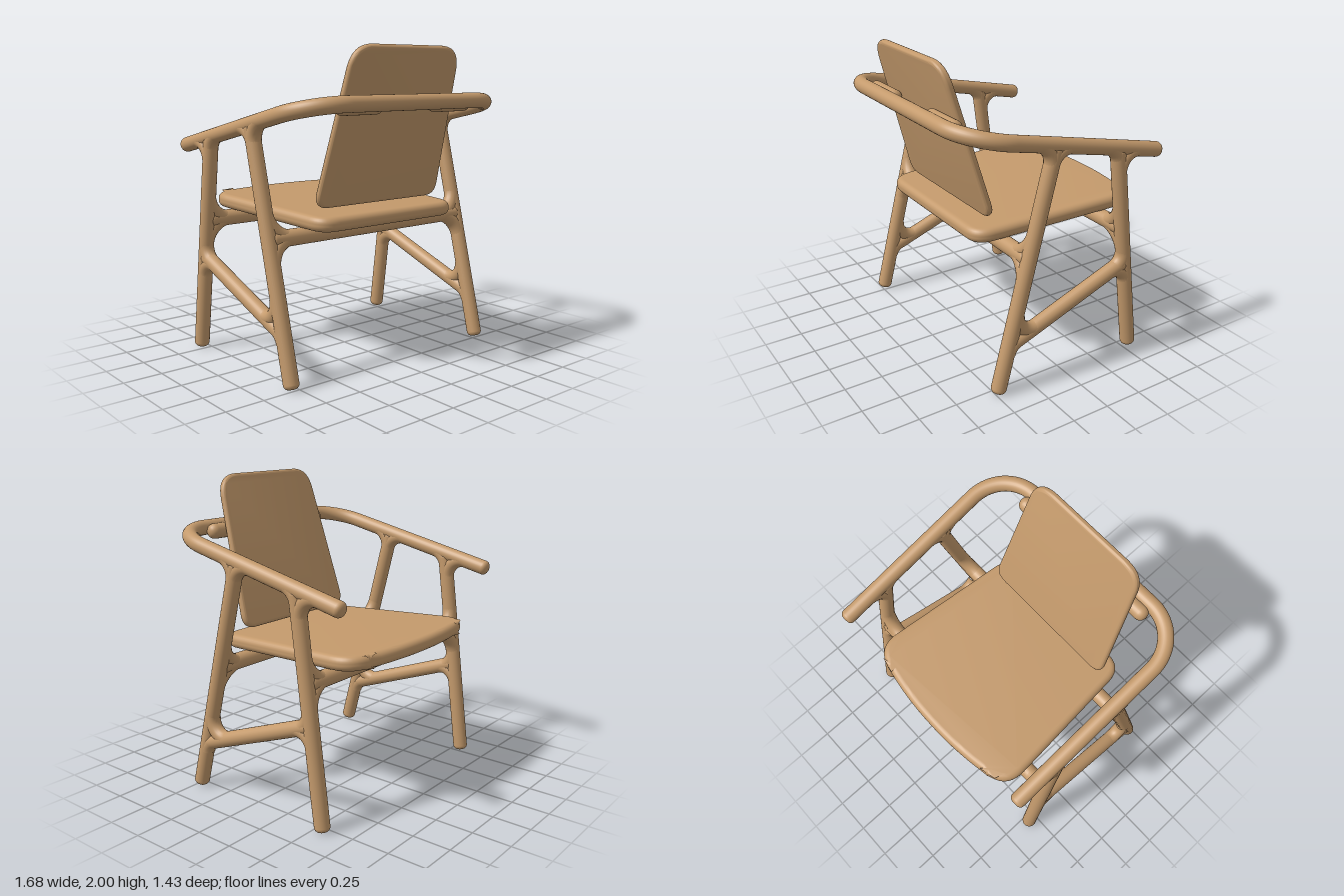
import * as THREE from 'three';
import { mergeVertices, toCreasedNormals } from 'three/addons/utils/BufferGeometryUtils.js';

const R = 0.049; // radius of all round stock
const V = (x, y, z) => new THREE.Vector3(x, y, z);
const wood = new THREE.MeshStandardMaterial({ color: 0xc49a6c });
wood.name = 'wood';

function add(group, name, geometry) {
  const mesh = new THREE.Mesh(geometry, wood);
  mesh.name = name;
  group.add(mesh);
  return mesh;
}

// Round bar from a to b with softly rounded ends
function rod(group, name, a, b, r = R, soft = 0.03) {
  const len = a.distanceTo(b);
  const profile = [new THREE.Vector2(0, 0)];
  for (let i = 0; i <= 5; i++) {
    const t = (i / 5) * Math.PI / 2;
    profile.push(new THREE.Vector2(r - soft + soft * Math.sin(t), soft - soft * Math.cos(t)));
  }
  const upper = profile.map((p) => new THREE.Vector2(p.x, len - p.y)).reverse();
  const mesh = add(group, name, new THREE.LatheGeometry([...profile, ...upper], 28));
  mesh.position.copy(a);
  mesh.quaternion.setFromUnitVectors(V(0, 1, 0), b.clone().sub(a).normalize());
}

// Exact-looking arc tangent to two directions leaving a corner
function arc(corner, d1, d2, radius) {
  const theta = d1.angleTo(d2);
  const t = radius / Math.tan(theta / 2);
  const k = t - (4 / 3) * Math.tan((Math.PI - theta) / 4) * radius;
  const at = (d, s) => corner.clone().addScaledVector(d, s);
  return new THREE.CubicBezierCurve3(at(d1, t), at(d1, k), at(d2, k), at(d2, t));
}

// Concave blend in the crook between two bars
function fillet(group, corner, d1, d2, inner) {
  const curve = arc(corner, d1, d2, inner + R);
  add(group, 'jointFillet', new THREE.TubeGeometry(curve, 16, R * 0.985, 20));
}

// Rounded panel, symmetric in x, from right-hand corners [x, y, cut]
function panel(half, thickness, bevel) {
  const left = half.map(([x, y, c]) => [-x, y, c]).reverse();
  const pts = [...half, ...left];
  const n = pts.length;
  const shape = new THREE.Shape();
  pts.forEach(([x, y, cut], i) => {
    const c = new THREE.Vector2(x, y);
    const toward = (q) => new THREE.Vector2(q[0], q[1]).sub(c).setLength(cut).add(c);
    const a = toward(pts[(i + n - 1) % n]);
    const b = toward(pts[(i + 1) % n]);
    if (i === 0) shape.moveTo(a.x, a.y);
    else shape.lineTo(a.x, a.y);
    shape.quadraticCurveTo(c.x, c.y, b.x, b.y);
  });
  shape.closePath();
  const geo = new THREE.ExtrudeGeometry(shape, {
    depth: thickness - 2 * bevel, bevelEnabled: true, bevelThickness: bevel,
    bevelSize: bevel, bevelOffset: -bevel, bevelSegments: 6, curveSegments: 10,
  });
  geo.translate(0, 0, bevel - thickness / 2);
  geo.deleteAttribute('uv');
  geo.deleteAttribute('normal');
  return toCreasedNormals(mergeVertices(geo, 1e-4), 0.6);
}

export function createModel() {
  const chair = new THREE.Group();
  chair.name = 'armchair';

  // Key lines of the side frame
  const X = 0.791;
  const armY = (z) => 1.365 + 0.222 * (z + 0.665);
  const rearZ = (y) => 0.483 - 0.256 * y;
  const frontZ = (y) => -0.56 + 0.131 * y;
  const tieY = (z) => 0.465 - 0.371 * z;
  const armDir = V(0, 0.222, 1).normalize();
  const rearUp = V(0, 1, -0.256).normalize();
  const frontUp = V(0, 1, 0.131).normalize();
  const tieDir = V(0, 0.371, -1).normalize();
  const neg = (v) => v.clone().negate();

  for (const side of [1, -1]) {
    const frame = new THREE.Group();
    frame.name = side > 0 ? 'leftSideFrame' : 'rightSideFrame';
    chair.add(frame);
    const x = side * X;
    const inward = V(-side, 0, 0);
    const rearTop = V(x, armY(0.09), rearZ(armY(0.09)));
    const frontTop = V(x, armY(-0.373), frontZ(armY(-0.373)));
    const tieRear = V(x, tieY(0.395), 0.395);
    const tieFront = V(x, tieY(-0.475), -0.475);

    // Legs and sloping side stretcher
    rod(frame, 'rearLeg', V(x, 0.008, rearZ(0.008)), rearTop);
    rod(frame, 'frontLeg', V(x, 0.004, frontZ(0.004)), frontTop);
    rod(frame, 'sideStretcher', tieRear, tieFront);

    // Blends within the side frame
    for (const d of [armDir, neg(armDir)]) {
      fillet(frame, rearTop, neg(rearUp), d, 0.075);
      fillet(frame, frontTop, neg(frontUp), d, 0.075);
    }
    for (const s of [1, -1]) {
      fillet(frame, tieRear, rearUp.clone().multiplyScalar(s), tieDir, 0.06);
      fillet(frame, tieFront, frontUp.clone().multiplyScalar(s), neg(tieDir), 0.06);
    }

    // Blends from the legs into the seat rails
    for (const s of [1, -1]) {
      fillet(frame, V(x, 0.857, rearZ(0.857)), rearUp.clone().multiplyScalar(s), inward, 0.12);
      fillet(frame, V(x, 0.885, frontZ(0.885)), frontUp.clone().multiplyScalar(s), inward, 0.12);
    }

    // Rounded arm tip
    rod(frame, 'armTip', V(x, armY(-0.665) - 0.01, -0.71), V(x, armY(-0.5), -0.5));

    // Bracket joining the arm rail to the backrest
    rod(frame, 'backBracket', V(side * 0.2, 1.64, 0.585), V(side * 0.545, 1.64, 0.585), 0.05, 0.045);
  }

  // Seat rails
  rod(chair, 'rearSeatRail', V(-X, 0.857, rearZ(0.857)), V(X, 0.857, rearZ(0.857)), 0.052);
  rod(chair, 'frontSeatRail', V(-X, 0.885, frontZ(0.885)), V(X, 0.885, frontZ(0.885)), 0.052);

  // Continuous bent arm rail
  const backZ = 0.662;
  const cornerL = V(X, armY(backZ), backZ);
  const cornerR = V(-X, armY(backZ), backZ);
  const bendL = arc(cornerL, neg(armDir), V(-1, 0, 0), 0.28);
  const bendR = arc(cornerR, V(1, 0, 0), neg(armDir), 0.28);
  const path = new THREE.CurvePath();
  path.add(new THREE.LineCurve3(V(X, armY(-0.6), -0.6), bendL.v0));
  path.add(bendL);
  path.add(new THREE.LineCurve3(bendL.v3, bendR.v0));
  path.add(bendR);
  path.add(new THREE.LineCurve3(bendR.v3, V(-X, armY(-0.6), -0.6)));
  add(chair, 'armRail', new THREE.TubeGeometry(path, 160, R, 28));

  // Seat: bowed front edge, narrower at the back
  const seat = add(chair, 'seat', panel([
    [0.26, 0.722, 0.24], [0.648, 0.64, 0.16], [0.56, -0.487, 0.13],
  ], 0.092, 0.04));
  seat.rotation.x = -Math.PI / 2 + 0.044;
  seat.position.y = 0.961;

  // Leaning backrest
  const back = add(chair, 'backrest', panel([
    [0.432, 1.012, 0.15], [0.508, 0, 0.1],
  ], 0.048, 0.022));
  back.rotation.x = 0.277;
  back.position.set(0, 1.023, 0.329);

  return chair;
}
